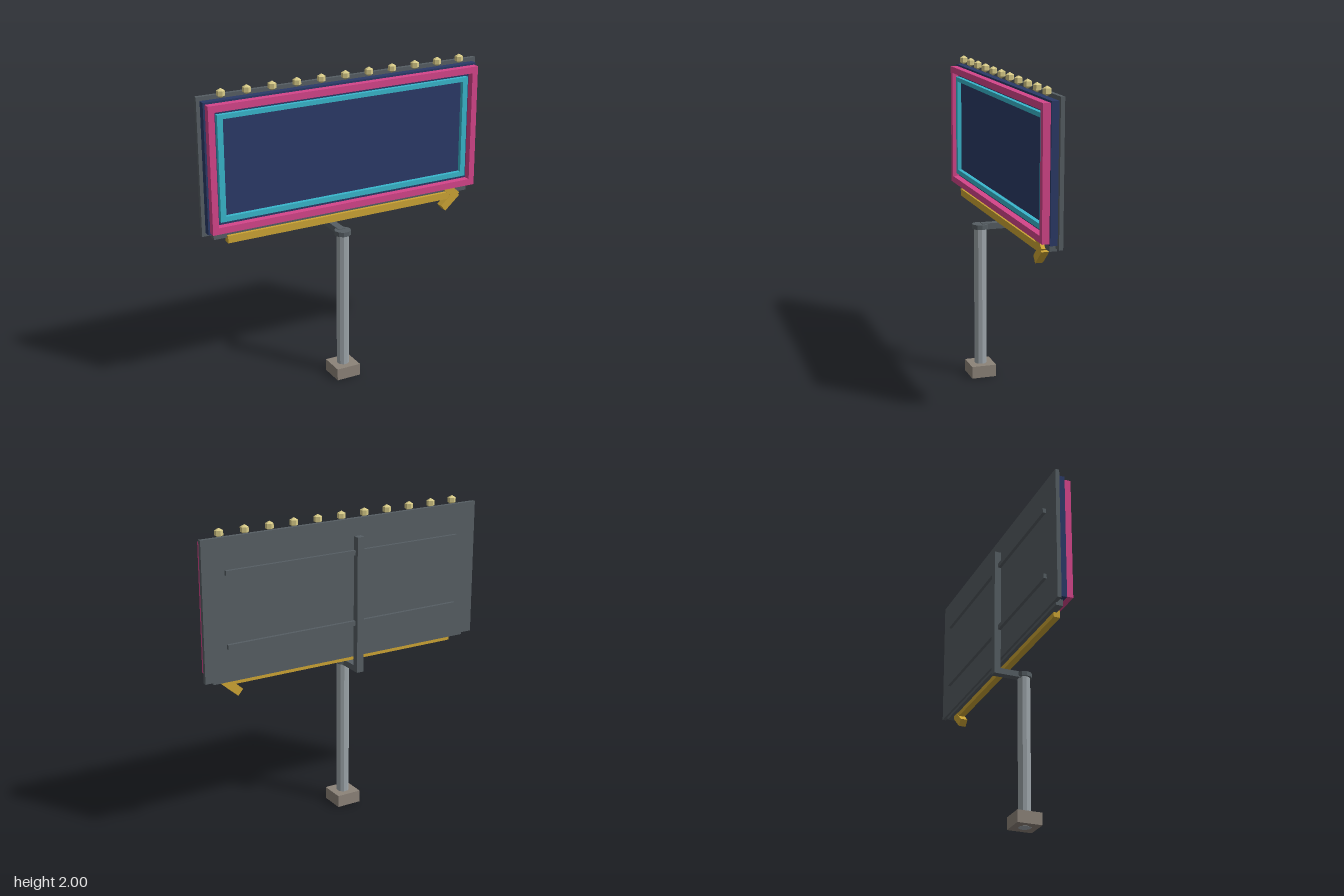
import * as THREE from 'three';

function mat(name, color, flatShading = false) {
  const m = new THREE.MeshStandardMaterial({ color, flatShading });
  m.name = name;
  return m;
}

export function createModel() {
  const navy = mat('navy', 0x2b3a67);
  const pink = mat('pink', 0xd4458a);
  const cyan = mat('cyan', 0x38b6cc);
  const gold = mat('gold', 0xcca434);
  const bulbGlass = mat('bulb glass', 0xd8cb88, true);
  const steel = mat('steel', 0x9da5aa, true);
  const darkMetal = mat('dark metal', 0x565e63, true);
  const concrete = mat('concrete', 0x8c8379);

  const model = new THREE.Group();
  model.name = 'billboard';

  function add(name, geometry, material, x = 0, y = 0, z = 0, parent = model) {
    const mesh = new THREE.Mesh(geometry, material);
    mesh.name = name;
    mesh.position.set(x, y, z);
    parent.add(mesh);
    return mesh;
  }

  // Box given by its lower and upper limits on each axis
  function box(name, material, [x0, x1], [y0, y1], [z0, z1], parent = model) {
    return add(name, new THREE.BoxGeometry(x1 - x0, y1 - y0, z1 - z0), material,
      (x0 + x1) / 2, (y0 + y1) / 2, (z0 + z1) / 2, parent);
  }

  // Ten-sided upright cylinder
  function column(name, material, radius, y0, y1) {
    const g = new THREE.CylinderGeometry(radius, radius, y1 - y0, 10).rotateY(Math.PI / 2);
    return add(name, g, material, poleX, (y0 + y1) / 2, poleZ);
  }

  // Rectangular frame with a hole, extruded forward from z0
  function frame(name, material, outer, inner, z0, depth) {
    const trace = (path, [hw, y0, y1]) => path.moveTo(-hw, y0).lineTo(hw, y0)
      .lineTo(hw, y1).lineTo(-hw, y1).lineTo(-hw, y0);
    const shape = new THREE.Shape();
    const hole = new THREE.Path();
    trace(shape, outer);
    trace(hole, inner);
    shape.holes.push(hole);
    add(name, new THREE.ExtrudeGeometry(shape, { depth, bevelEnabled: false }), material, 0, 0, z0);
  }

  // Footing, pole and cap
  const poleX = -0.082, poleZ = 0.067;
  box('footing', concrete, [-0.164, 0], [0.001, 0.08], [-0.014, 0.148]);
  column('pole', steel, 0.04, 0, 0.99);
  column('poleCap', darkMetal, 0.053, 0.98, 1.01);

  // Arm and upright carrying the sign
  box('supportArm', darkMetal, [-0.106, -0.058], [0.975, 1.014], [-0.12, 0.06]);
  box('upright', darkMetal, [-0.106, -0.058], [0.975, 1.845], [-0.143, -0.1]);

  // Sign body
  box('backPanel', darkMetal, [-0.965, 0.965], [1.085, 1.955], [-0.1, -0.075]);
  box('signFace', navy, [-0.942, 0.942], [1.108, 1.93], [-0.075, -0.03]);
  box('lowerRail', darkMetal, [-0.905, 0.905], [1.066, 1.108], [-0.085, -0.04]);
  for (const y of [1.295, 1.745]) {
    box('backRail', darkMetal, [-0.818, 0.818], [y - 0.015, y + 0.015], [-0.12, -0.1]);
  }

  // Neon borders
  frame('outerBorder', pink, [0.93, 1.118, 1.918], [0.89, 1.16, 1.876], -0.03, 0.045);
  frame('innerBorder', cyan, [0.868, 1.184, 1.852], [0.832, 1.216, 1.824], -0.03, 0.027);

  // Arrow below the sign
  const arrow = new THREE.Group();
  arrow.name = 'arrow';
  model.add(arrow);
  box('arrowShaft', gold, [-0.82, 0.79], [1.035, 1.082], [-0.06, -0.019], arrow);
  for (const side of [-1, 1]) {
    const head = add('arrowHead', new THREE.BoxGeometry(0.14, 0.052, 0.048), gold,
      0.77, 1.058 + side * 0.036, -0.039, arrow);
    head.rotation.z = -side * 0.72;
  }

  // Row of bulbs along the top
  const bulbGeometry = new THREE.SphereGeometry(0.03, 6, 3).rotateY(Math.PI / 2);
  for (let i = 0; i < 11; i++) {
    add('bulb', bulbGeometry, bulbGlass, -0.821 + i * 0.1642, 1.97, -0.046);
  }

  return model;
}
